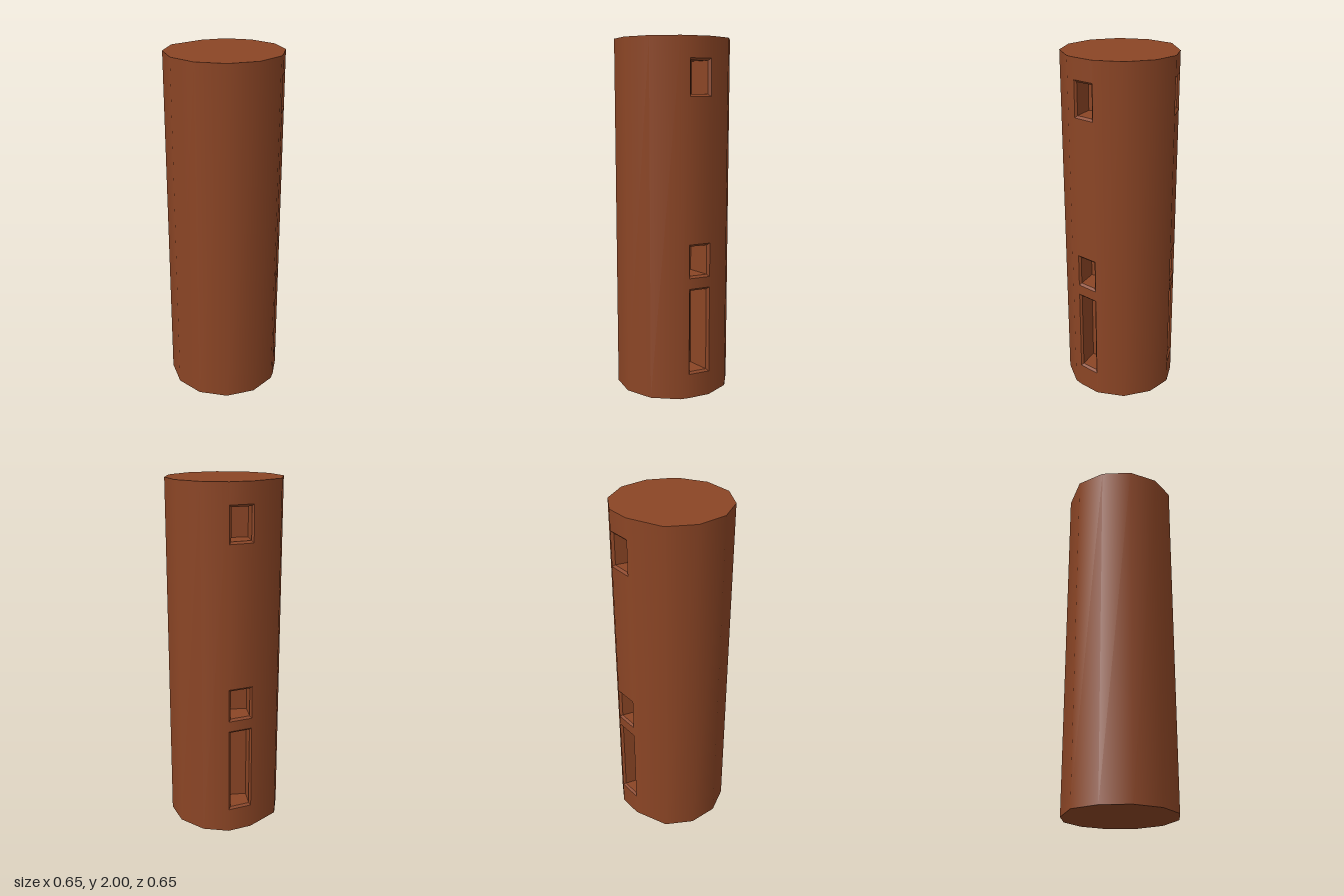
import * as THREE from 'three';

const HEIGHT = 2;

// Footprint of the post as [x, z], running from +x towards +z
const PROFILE = [
  [0.327, -0.008], [0.3, 0.115], [0.283, 0.164], [0.164, 0.283], [0, 0.327],
  [-0.164, 0.283], [-0.283, 0.164], [-0.327, 0], [-0.283, -0.165],
  [-0.113, -0.292], [0.022, -0.328], [0.166, -0.285], [0.285, -0.166],
];

// Profile edges that carry slots, with the inward direction and the floor of the slot
const SLOTTED = {
  0: { name: 'side', axis: 'x', inward: -1, floor: 0.175 },
  9: { name: 'back', axis: 'z', inward: 1, floor: -0.175 },
};
const SLOTS = [[0.14, 0.635], [0.695, 0.885], [1.685, 1.885]];
const BEVEL = 0.012;

// Collects four-cornered faces, with flat normals or normals rounded about the y axis
class Faces {
  points = [];
  normals = [];
  quad(a, b, c, d, round = false) {
    const flat = b.clone().sub(a).cross(c.clone().sub(a)).normalize();
    for (const p of [a, b, c, a, c, d]) {
      const n = round ? new THREE.Vector3(p.x, 0, p.z).normalize() : flat;
      this.points.push(p.x, p.y, p.z);
      this.normals.push(n.x, n.y, n.z);
    }
  }
  mesh(name, material) {
    const g = new THREE.BufferGeometry();
    g.setAttribute('position', new THREE.Float32BufferAttribute(this.points, 3));
    g.setAttribute('normal', new THREE.Float32BufferAttribute(this.normals, 3));
    const m = new THREE.Mesh(g, material);
    m.name = name;
    return m;
  }
}

// Rectangle on the wall between p (right) and q (left), shrunk by inset
function rectangle(p, q, y0, y1, inset = 0) {
  const along = new THREE.Vector2(q[0] - p[0], q[1] - p[1]).normalize().multiplyScalar(inset);
  const right = (y) => new THREE.Vector3(p[0] + along.x, y, p[1] + along.y);
  const left = (y) => new THREE.Vector3(q[0] - along.x, y, q[1] - along.y);
  return [left(y0 + inset), right(y0 + inset), right(y1 - inset), left(y1 - inset)];
}

// Recess with a bevelled rim, straight walls and a flat floor
function slot(p, q, [y0, y1], side, material) {
  const faces = new Faces();
  const rim = rectangle(p, q, y0, y1);
  const lip = rectangle(p, q, y0, y1, BEVEL);
  lip.forEach((v) => { v[side.axis] += side.inward * BEVEL; });
  const floor = lip.map((v) => {
    const f = v.clone();
    f[side.axis] = side.floor;
    return f;
  });
  for (const [outer, inner] of [[rim, lip], [lip, floor]]) {
    for (let i = 0; i < 4; i++) {
      const j = (i + 1) % 4;
      faces.quad(outer[i], outer[j], inner[j], inner[i]);
    }
  }
  faces.quad(...floor);
  return faces.mesh(side.name + 'Slot', material);
}

// Flat end of the post, facing up or down
function cap(name, up, material) {
  const shape = new THREE.Shape(PROFILE.map(([x, z]) => new THREE.Vector2(x, up ? -z : z)));
  const g = new THREE.ShapeGeometry(shape).rotateX(up ? -Math.PI / 2 : Math.PI / 2);
  const m = new THREE.Mesh(g, material);
  m.position.y = up ? HEIGHT : 0;
  m.name = name;
  return m;
}

export function createModel() {
  const wood = new THREE.MeshStandardMaterial({ color: 0x8b4525 });
  wood.name = 'brown wood';
  const group = new THREE.Group();
  group.name = 'slottedPost';

  // Outer wall, left open where the slots are
  const wall = new Faces();
  PROFILE.forEach((p, i) => {
    const q = PROFILE[(i + 1) % PROFILE.length];
    const side = SLOTTED[i];
    let y = 0;
    for (const range of side ? SLOTS : []) {
      wall.quad(...rectangle(p, q, y, range[0]), true);
      group.add(slot(p, q, range, side, wood));
      y = range[1];
    }
    wall.quad(...rectangle(p, q, y, HEIGHT), true);
  });
  group.add(wall.mesh('postWall', wood));

  group.add(cap('postTop', true, wood), cap('postBottom', false, wood));
  return group;
}
